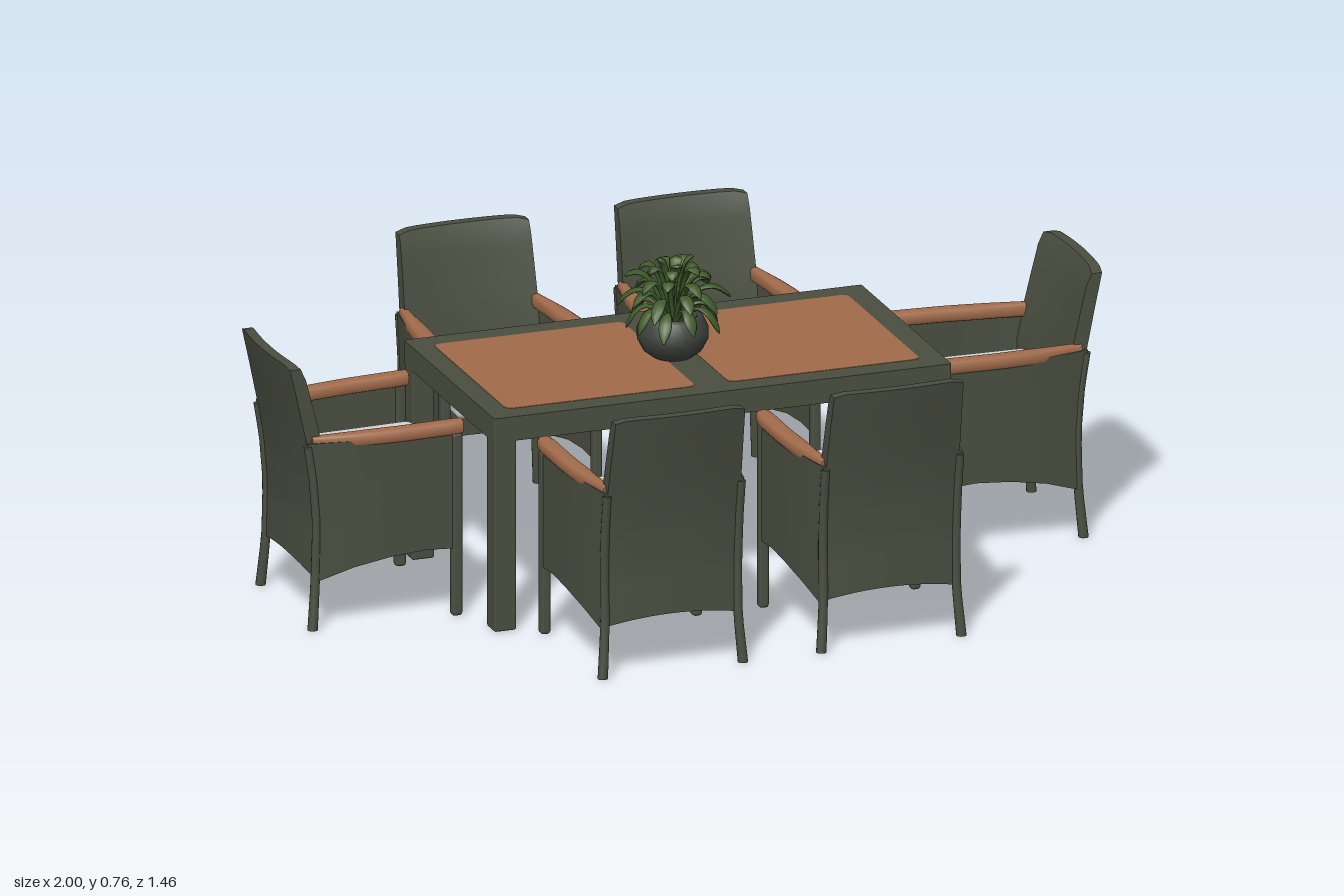
import * as THREE from 'three';
import { RoundedBoxGeometry } from 'three/addons/geometries/RoundedBoxGeometry.js';

const mat = (name, color) => Object.assign(new THREE.MeshStandardMaterial({ color }), { name });

// Piecewise-linear lookup through [input, output] stops
function along(stops, v) {
  if (v <= stops[0][0]) return stops[0][1];
  for (let i = 1; i < stops.length; i++) {
    const [a, fa] = stops[i - 1], [b, fb] = stops[i];
    if (v <= b) return fa + (fb - fa) * (v - a) / (b - a);
  }
  return stops[stops.length - 1][1];
}

// Moves every vertex by a rule and refreshes the normals
function warp(geo, rule) {
  const p = geo.attributes.position;
  for (let i = 0; i < p.count; i++) p.setXYZ(i, ...rule(p.getX(i), p.getY(i), p.getZ(i)));
  geo.computeVertexNormals();
  return geo;
}

function add(parent, name, geo, material, x = 0, y = 0, z = 0) {
  const mesh = new THREE.Mesh(geo, material);
  mesh.name = name;
  mesh.position.set(x, y, z);
  parent.add(mesh);
  return mesh;
}

function roundedRect(Type, x0, y0, x1, y1, r) {
  const s = new Type();
  s.moveTo(x0 + r, y0);
  s.lineTo(x1 - r, y0).quadraticCurveTo(x1, y0, x1, y0 + r);
  s.lineTo(x1, y1 - r).quadraticCurveTo(x1, y1, x1 - r, y1);
  s.lineTo(x0 + r, y1).quadraticCurveTo(x0, y1, x0, y1 - r);
  s.lineTo(x0, y0 + r).quadraticCurveTo(x0, y0, x0 + r, y0);
  return s;
}

// Flat slab lying in the xz plane, its underside at y = 0
const slab = (shape, depth) =>
  new THREE.ExtrudeGeometry(shape, { depth, bevelEnabled: false, curveSegments: 5 }).rotateX(-Math.PI / 2);

// Rear outline of a chair: z for each height, with the chair front at z = 0
const rearZ = y => along([[0, -0.37], [0.12, -0.36], [0.25, -0.357], [0.36, -0.366],
  [0.45, -0.381], [0.54, -0.4], [0.63, -0.42]], y);

function buildChair(m) {
  const chair = new THREE.Group();
  chair.name = 'chair';

  // Curved back, running from the arched lower edge to the top
  add(chair, 'backPanel', warp(new THREE.BoxGeometry(1, 1, 1, 12, 18, 1), (u, v, w) => {
    const e = 4 * u * u;
    const low = 0.118 + 0.02 * (1 - e), high = 0.632 - 0.007 * e ** 6;
    const y = low + (high - low) * (v + 0.5);
    const half = along([[0.1, 0.168], [0.4, 0.163], [0.63, 0.157]], y);
    const thick = along([[0.25, 0.014], [0.36, 0.038], [0.6, 0.032], [0.632, 0.024]], y);
    return [2 * u * half, y, rearZ(y) + 0.012 * e + (w + 0.5) * thick];
  }), m.wicker);

  // Seat cushion, narrower towards the back
  add(chair, 'cushion', warp(new RoundedBoxGeometry(0.32, 0.06, 0.34, 3, 0.02), (x, y, z) =>
    [x * (1 + (z - 0.17) * 0.25), y + 0.33, z - 0.165]), m.fabric);

  for (const s of [-1, 1]) {
    // Side panel with a sloping arch below
    add(chair, 'sidePanel', warp(new THREE.BoxGeometry(1, 1, 1, 1, 8, 12), (u, v, w) => {
      const t = 0.5 - w;
      const low = along([[0, 0.162], [0.25, 0.167], [0.5, 0.16], [0.75, 0.143], [1, 0.113]], t);
      const y = low + (0.447 - low) * (v + 0.5);
      const x = along([[0, 0.185], [0.5, 0.183], [0.75, 0.176], [1, 0.162]], t);
      return [s * x + u * 0.014, y, -0.004 + t * (rearZ(y) + 0.016)];
    }), m.wicker);

    // Wooden armrest bowing inwards at the rear
    const armGeo = new THREE.CylinderGeometry(1, 1, 1, 16, 14).rotateX(Math.PI / 2);
    add(chair, 'armrest', warp(armGeo, (x, y, z) => {
      const t = 0.5 - z;
      const mid = along([[0, 0.179], [0.4, 0.177], [0.75, 0.167], [1, 0.157]], t);
      const wide = along([[0, 0.017], [0.06, 0.021], [0.6, 0.021], [1, 0.011]], t);
      const q = c => Math.sign(c) * Math.abs(c) ** 0.7;
      return [s * mid + q(x) * wide, 0.452 - 0.008 * t + q(y) * 0.017, -t * 0.355];
    }), m.wood);

    // Front leg
    add(chair, 'frontLeg', new RoundedBoxGeometry(0.024, 0.44, 0.026, 2, 0.008), m.wicker, s * 0.184, 0.22, -0.014);

    // Splayed rear leg with a slightly thicker foot
    add(chair, 'rearLeg', warp(new THREE.CylinderGeometry(1, 1, 1, 12, 10), (x, y, z) => {
      const h = 0.44 * (y + 0.5);
      const r = along([[0, 0.012], [0.01, 0.014], [0.05, 0.011], [0.44, 0.01]], h);
      return [s * along([[0, 0.17], [0.12, 0.161], [0.44, 0.163]], h) + x * r, h, rearZ(h) + 0.013 + z * r];
    }), m.wicker);
  }
  return chair;
}

function buildTable(m) {
  const table = new THREE.Group();
  table.name = 'table';
  const panels = [[-0.505, -0.045], [0.035, 0.5]];

  // Frame with two openings, each filled by a wooden panel
  const top = roundedRect(THREE.Shape, -0.555, -0.295, 0.555, 0.295, 0.006);
  for (const [a, b] of panels) {
    top.holes.push(roundedRect(THREE.Path, a, -0.24, b, 0.24, 0.02));
    add(table, 'tabletopPanel', slab(roundedRect(THREE.Shape, a, -0.24, b, 0.24, 0.02), 0.03), m.wood, 0, 0.485, 0);
  }
  add(table, 'tableFrame', slab(top, 0.058), m.wicker, 0, 0.456, 0);
  for (const x of [-1, 1]) for (const z of [-1, 1])
    add(table, 'tableLeg', new RoundedBoxGeometry(0.054, 0.46, 0.052, 2, 0.005), m.wicker, x * 0.527, 0.23, z * 0.268);
  table.position.z = -0.015;
  return table;
}

function buildPlant(m) {
  const plant = new THREE.Group();
  plant.name = 'pottedPlant';

  // Round bowl
  const bowl = [[0, 0], [0.045, 0], [0.068, 0.018], [0.082, 0.045], [0.082, 0.068], [0.07, 0.095],
    [0.062, 0.103], [0.055, 0.098], [0.05, 0.085], [0, 0.085]];
  add(plant, 'pot', new THREE.LatheGeometry(bowl.map(p => new THREE.Vector2(...p)), 28), m.pot);

  // Rings of arching leaves: count, control radius and height, tip radius and height
  const rings = [[9, 0.07, 0.165, 0.108, 0.07], [9, 0.06, 0.21, 0.12, 0.125],
    [8, 0.045, 0.235, 0.098, 0.175], [7, 0.03, 0.26, 0.07, 0.205], [5, 0.01, 0.24, 0.042, 0.23]];
  rings.forEach(([n, cr, cy, tr, ty], k) => {
    for (let i = 0; i < n; i++) {
      const vary = 1 + 0.13 * Math.sin(i * 2.4 + k * 1.7);
      const path = new THREE.QuadraticBezierCurve(new THREE.Vector2(0.012, 0.08),
        new THREE.Vector2(cr * vary, cy), new THREE.Vector2(tr * vary, ty + 0.012 * Math.sin(i * 3.1 + k)));
      const leaf = warp(new THREE.CylinderGeometry(1, 1, 1, 8, 12), (x, y, z) => {
        const t = y + 0.5, p = path.getPoint(t), d = path.getTangent(t);
        const wide = along([[0, 0.004], [0.4, 0.006], [0.6, 0.013], [0.8, 0.016], [0.92, 0.011], [1, 0.002]], t);
        const thick = Math.min(wide, 0.005);
        return [p.x + x * thick * d.y, p.y - x * thick * d.x, z * wide];
      });
      add(plant, 'leaf', leaf, m.leaf).rotation.y = (i / n) * Math.PI * 2 + k * 0.55;
    }
  });
  plant.position.set(-0.02, 0.514, 0.005);
  return plant;
}

export function createModel() {
  const m = {
    wicker: mat('dark olive wicker', 0x4a4e40),
    wood: mat('warm wood', 0xa06a4a),
    fabric: mat('pale grey fabric', 0xd2d2d2),
    pot: mat('dark pot', 0x3e433c),
    leaf: mat('leaf green', 0x3f5a2a),
  };
  const model = new THREE.Group();
  model.name = 'diningSet';
  model.add(buildTable(m), buildPlant(m));

  // Chairs facing the table: x, z and turn
  const places = [[-0.265, -0.315, 0], [0.265, -0.315, 0], [-0.265, 0.308, Math.PI], [0.265, 0.308, Math.PI],
    [-0.578, -0.053, Math.PI / 2], [0.578, -0.053, -Math.PI / 2]];
  for (const [x, z, turn] of places) {
    const chair = buildChair(m);
    chair.position.set(x, 0, z);
    chair.rotation.y = turn;
    model.add(chair);
  }
  return model;
}
